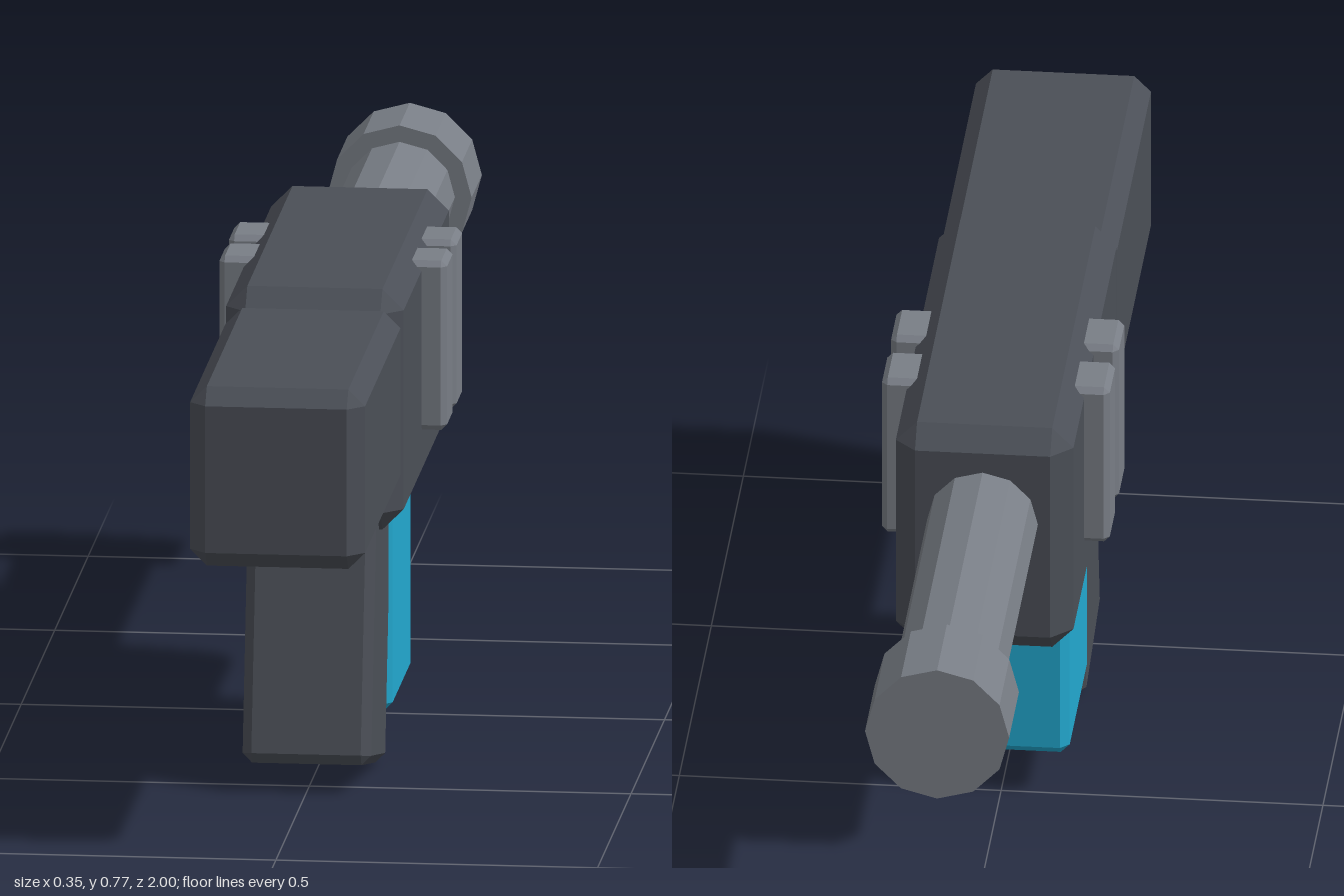
import * as THREE from 'three';
import { ConvexGeometry } from 'three/addons/geometries/ConvexGeometry.js';

const material = (color) => new THREE.MeshStandardMaterial({ color, flatShading: true });

// Box with every edge chamfered by b, centred on the origin
function chamferBox(w, h, d, b) {
  const points = [];
  const half = [w / 2, h / 2, d / 2];
  for (const sx of [-1, 1]) for (const sy of [-1, 1]) for (const sz of [-1, 1]) {
    for (let axis = 0; axis < 3; axis++) {
      const p = [sx, sy, sz].map((s, i) => s * (half[i] - (i === axis ? 0 : b)));
      points.push(new THREE.Vector3(...p));
    }
  }
  return new ConvexGeometry(points);
}

export function createModel() {
  const group = new THREE.Group();
  const dark = material(0x4b4f57);
  const light = material(0x797e86);
  const blue = material(0x22a8cf);

  function add(name, geometry, mat, x, y, z) {
    const mesh = new THREE.Mesh(geometry, mat);
    mesh.name = name;
    mesh.position.set(x, y, z);
    group.add(mesh);
    return mesh;
  }

  // Main body and rear stock
  add('body', chamferBox(0.276, 0.382, 0.74, 0.033), dark, 0, 0.583, 0.08);
  add('stock', chamferBox(0.272, 0.285, 0.58, 0.026), dark, 0, 0.603, 0.71);

  // Tilted grip
  const grip = add('grip', chamferBox(0.2, 0.5, 0.243, 0.015), dark, 0, 0.268, 0.383);
  grip.rotation.x = -0.21;

  // Magazine
  add('magazine', chamferBox(0.212, 0.39, 0.297, 0.014), blue, 0, 0.265, 0.141);

  // Side ribs, two on each side
  const rib = chamferBox(0.08, 0.269, 0.1, 0.009);
  for (const side of [-1, 1]) {
    for (const z of [-0.04, 0.103]) add('sideRib', rib, light, side * 0.137, 0.622, z);
  }

  // Barrel and muzzle, pointing backwards along z
  function tube(name, radius, z0, z1) {
    const geometry = new THREE.CylinderGeometry(radius, radius, z1 - z0, 12);
    geometry.rotateX(Math.PI / 2);
    add(name, geometry, light, 0, 0.622, (z0 + z1) / 2);
  }
  tube('barrel', 0.086, -0.9, -0.2);
  tube('muzzle', 0.112, -1, -0.847);

  return group;
}
